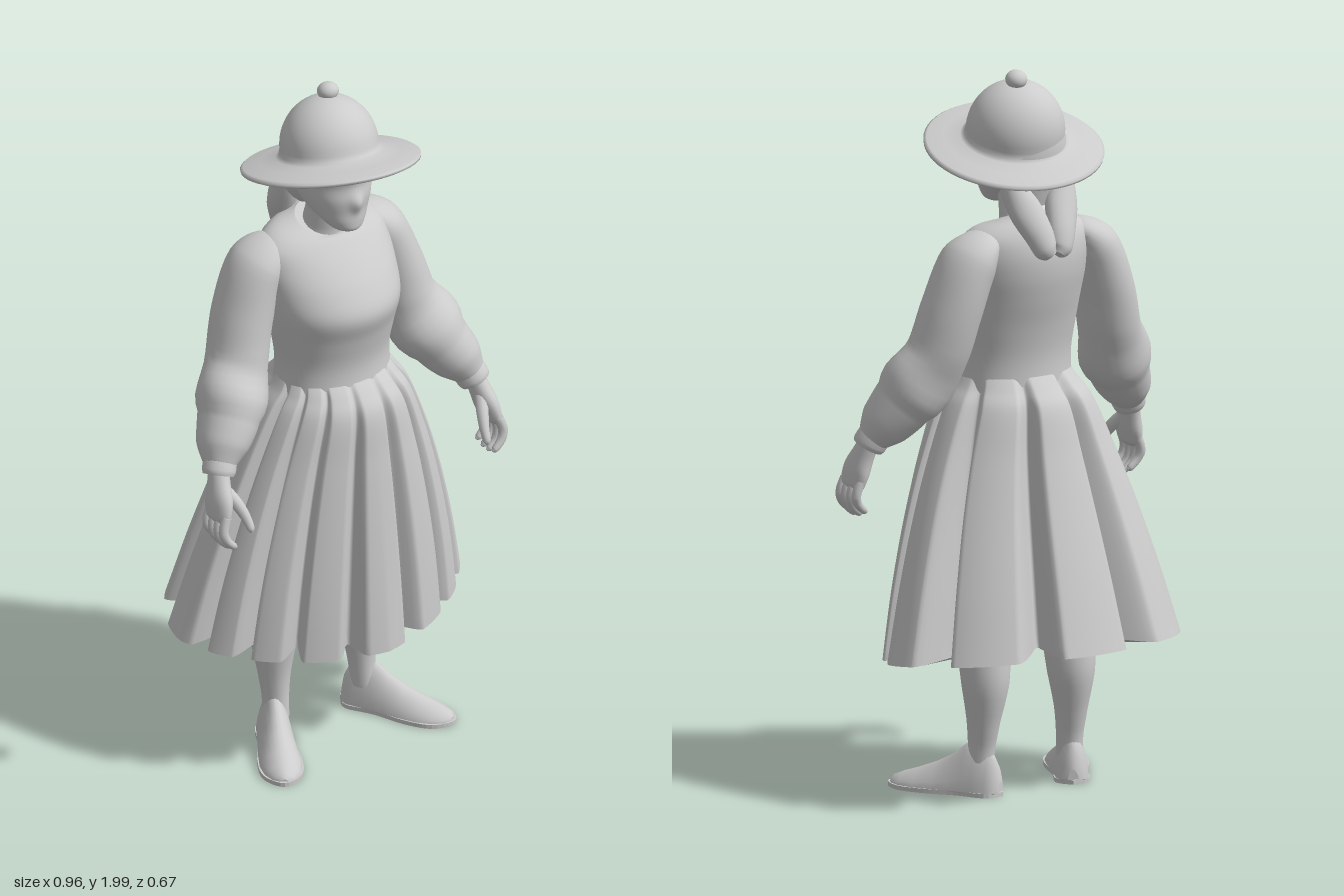
import * as THREE from 'three';

const clay = new THREE.MeshStandardMaterial({ color: 0xcccccc });
clay.name = 'clay grey';

// Skin closed rings of points into a smooth surface with flat end caps
function loft(rings) {
  const n = rings[0].length, pos = [], index = [];
  const push = p => pos.push(p.x, p.y, p.z);
  rings.forEach(r => r.forEach(push));
  for (let i = 0; i < rings.length - 1; i++) {
    for (let j = 0; j < n; j++) {
      const a = i * n + j, b = i * n + (j + 1) % n;
      index.push(a, b, a + n, b, b + n, a + n);
    }
  }
  [rings[0], rings[rings.length - 1]].forEach((ring, end) => {
    const base = pos.length / 3;
    const mid = new THREE.Vector3();
    ring.forEach(p => { push(p); mid.addScaledVector(p, 1 / n); });
    push(mid);
    for (let j = 0; j < n; j++) {
      const a = base + j, b = base + (j + 1) % n;
      index.push(base + n, end ? a : b, end ? b : a);
    }
  });
  const geo = new THREE.BufferGeometry();
  geo.setAttribute('position', new THREE.Float32BufferAttribute(pos, 3));
  geo.setIndex(index);
  geo.computeVertexNormals();
  return geo;
}

// Body from horizontal sections: [y, half width, front z, back z, pleat depth]
function sections(rows, shape = () => [1, 0], steps = 40, seg = 64) {
  const curve = f => new THREE.CatmullRomCurve3(rows.map(f), false, 'centripetal');
  const outer = curve(r => new THREE.Vector3(r[1], r[0], r[2]));
  const inner = curve(r => new THREE.Vector3(r[3], r[0], r[4] || 0));
  return loft(Array.from({ length: steps + 1 }, (_, i) => {
    const t = i / steps, p = outer.getPoint(t), q = inner.getPoint(t);
    return Array.from({ length: seg }, (_, j) => {
      const a = j / seg * Math.PI * 2, [f, dy] = shape(a, t, q.z);
      return new THREE.Vector3(
        p.x * Math.sin(a) * f, (p.y + q.y) / 2 + dy,
        (p.z + q.x) / 2 + (p.z - q.x) / 2 * Math.cos(a) * f);
    });
  }));
}

// Limb along a path: [x, y, z, radius along z, radius across]
function limb(rows, side = 1, steps = 24, seg = 18) {
  const path = new THREE.CatmullRomCurve3(rows.map(r => new THREE.Vector3(side * r[0], r[1], r[2])));
  const radii = new THREE.CatmullRomCurve3(rows.map(r => new THREE.Vector3(r[3], r[4] ?? r[3], 0)));
  return loft(Array.from({ length: steps + 1 }, (_, i) => {
    const t = i / steps, c = path.getPoint(t), d = path.getTangent(t), r = radii.getPoint(t);
    const u = new THREE.Vector3(0, 0, 1).addScaledVector(d, -d.z).normalize();
    const v = new THREE.Vector3().crossVectors(d, u);
    return Array.from({ length: seg }, (_, j) => {
      const a = j / seg * Math.PI * 2;
      return c.clone().addScaledVector(u, r.x * Math.cos(a)).addScaledVector(v, r.y * Math.sin(a));
    });
  }));
}

// Pleat centres in degrees from the front; the back pleats are wider
const pleats = [0, 27, 50, 70, 91, 137, 180];
function pleatShape(a, t, depth) {
  const deg = THREE.MathUtils.radToDeg(a > Math.PI ? 2 * Math.PI - a : a);
  const k = Math.min(pleats.findLastIndex(p => p <= deg + 1e-6), pleats.length - 2);
  const phase = (deg - pleats[k]) / (pleats[k + 1] - pleats[k]);
  const edge = 1 - Math.abs(2 * phase - 1);
  const valley = .08 * edge * edge + .92 * THREE.MathUtils.smoothstep(edge, .58, 1);
  const back = (1 - Math.cos(a)) / 2, low = (1 - t) ** 3;
  const oval = 1 - .09 * low * Math.max(0, Math.sin(2 * deg * Math.PI / 180));
  return [oval * (1 - depth * (.5 + .5 * back) * valley), low * (.01 * valley - .032 * Math.cos(a))];
}

// Low nose ridge on the face
function faceShape(a, t) {
  const turn = Math.min(a, 2 * Math.PI - a);
  return [1 + .12 * Math.exp(-((turn / .17) ** 2) - ((t - .54) / .1) ** 2), 0];
}

function foot() {
  // Rings run from heel to toe: [z, half width, height]
  const rows = [[-.05, .015, .04], [-.042, .034, .085], [-.02, .045, .13], [.02, .047, .15], [.05, .049, .137],
    [.09, .052, .105], [.135, .056, .08], [.19, .058, .058], [.235, .049, .043], [.265, .03, .03], [.275, .01, .018]];
  return loft(rows.map(([z, w, h]) => Array.from({ length: 24 }, (_, j) => {
    const a = j / 24 * Math.PI * 2, s = Math.sin(a);
    return new THREE.Vector3(w * Math.cos(a) * (s > 0 ? 1 - .25 * s : 1), s > 0 ? .012 + (h - .012) * s : .012 + .008 * s, z);
  })));
}

export function createModel() {
  const model = new THREE.Group();
  model.name = 'woman in hat and pleated dress';
  const add = (name, geo, parent = model) => {
    const m = new THREE.Mesh(geo, clay);
    m.name = name;
    parent.add(m);
    return m;
  };

  // Dress bodice, its neckline lower at the front
  add('bodice', sections([
    [1.1, .17, .215, -.07], [1.2, .166, .205, -.066], [1.29, .18, .222, -.08], [1.37, .192, .243, -.1],
    [1.44, .198, .212, -.113], [1.5, .198, .168, -.113], [1.545, .188, .13, -.1],
    [1.572, .15, .108, -.08], [1.588, .075, .09, -.045]], (a, t) => [1, -.025 * Math.cos(a) * t ** 6]));

  // Skirt from hem to gathered waist
  add('skirt', sections([
    [.4, .455, .335, -.335, .38], [.6, .4, .318, -.28, .35], [.8, .335, .3, -.22, .31],
    [.95, .276, .285, -.175, .27], [1.08, .215, .268, -.135, .2], [1.125, .182, .238, -.095, .14],
    [1.165, .158, .197, -.057, .06]], pleatShape, 40, 320));

  // Neck, collar and head
  add('neck', limb([[0, 1.53, .02, .075], [0, 1.59, .035, .058], [0, 1.64, .045, .055], [0, 1.7, .05, .06]]));
  const collar = add('collar', new THREE.TorusGeometry(.082, .009, 8, 40));
  collar.rotation.x = Math.PI / 2 + .4;
  collar.position.set(0, 1.568, .022);
  add('head', sections([
    [1.607, .022, .165, .12], [1.618, .044, .18, .08], [1.64, .063, .183, .05], [1.67, .083, .183, .0],
    [1.71, .1, .186, -.04], [1.75, .108, .182, -.055], [1.79, .11, .188, -.06], [1.86, .1, .16, -.05]], faceShape));

  // Hair cap and looped braids
  add('hair', sections([
    [1.625, .04, .0, -.055], [1.66, .075, .04, -.065], [1.72, .115, .09, -.08], [1.77, .123, .13, -.085],
    [1.82, .123, .175, -.08], [1.86, .11, .16, -.06]]));

  // Hat with tilted brim, domed crown and knob
  const hat = new THREE.Group();
  hat.name = 'hat';
  hat.position.set(.005, 1.775, .058);
  hat.rotation.set(-.27, 0, -.08);
  model.add(hat);
  const profile = [[0, .02], [.13, .01], [.236, -.012], [.245, -.008], [.246, -.001], [.238, .005], [.19, .013], [.148, .022], [.137, .03]];
  for (let i = 0; i <= 14; i++) {
    const a = i / 14 * Math.PI / 2;
    profile.push([.135 * Math.cos(a), .045 + .142 * Math.sin(a)]);
  }
  add('hat brim and crown', new THREE.LatheGeometry(profile.map(p => new THREE.Vector2(Math.max(p[0], 0), p[1])), 56), hat);
  const knob = add('hat knob', new THREE.SphereGeometry(.03, 20, 14), hat);
  knob.scale.y = .85;
  knob.position.set(.005, .197, .012);

  for (const side of [1, -1]) {
    const label = side > 0 ? 'left' : 'right';

    add(label + ' braid', limb([[.082, 1.74, -.02, .03], [.078, 1.68, -.045, .036], [.058, 1.62, -.075, .036, .048],
      [.036, 1.56, -.105, .034, .042], [.024, 1.52, -.12, .03, .034], [.012, 1.503, -.125, .02]], side));

    // Full sleeve gathered into a cuff
    add(label + ' sleeve', limb([
      [.12, 1.535, -.005, .045, .025], [.155, 1.527, -.005, .075, .045], [.2, 1.485, -.006, .093, .072],
      [.25, 1.36, .002, .093, .08], [.287, 1.23, .025, .088, .085], [.35, 1.11, .078, .088, .085],
      [.395, 1.045, .108, .074, .071], [.42, 1.005, .128, .047, .046]], side, 36, 24));
    add(label + ' cuff', limb([[.41, 1.02, .122, .046], [.425, .99, .134, .047], [.43, .978, .138, .043]], side, 6));

    // Hand with curled fingers
    const hand = new THREE.Group();
    hand.name = label + ' hand';
    model.add(hand);
    add('palm', limb([[.425, 1.0, .132, .03, .026], [.437, .955, .15, .038, .028], [.448, .91, .166, .05, .028],
      [.456, .872, .173, .048, .022], [.458, .858, .174, .03, .01]], side, 16), hand);
    for (let k = 0; k < 4; k++) {
      const z = .135 + k * .025, drop = [.012, .002, 0, .008][k];
      add('finger', limb([[.455, .885, z, .0135], [.468, .845, z + .004, .014], [.46, .81 + drop, z + .008, .0125],
        [.437, .787 + drop, z + .01, .01], [.429, .783 + drop, z + .01, .004]], side, 12, 10), hand);
    }
    add('thumb', limb([[.43, .945, .165, .018], [.412, .91, .197, .017], [.4, .875, .222, .014],
      [.396, .845, .24, .011], [.397, .835, .244, .004]], side, 12, 10), hand);

    // Leg, shoe and sole
    add(label + ' leg', limb([
      [.125, .6, .01, .085, .08], [.138, .42, .008, .074, .074], [.141, .31, -.002, .068, .065],
      [.144, .2, .003, .049, .044], [.145, .13, .01, .041, .036], [.147, .07, .015, .04, .035]], side));
    const shoe = new THREE.Group();
    shoe.name = label + ' foot';
    shoe.position.set(side * .145, 0, 0);
    shoe.rotation.y = side * .52;
    model.add(shoe);
    add('shoe', foot(), shoe);
    const outline = new THREE.Shape(new THREE.SplineCurve([[0, .058], [.046, .025], [.047, -.06], [.061, -.16], [.052, -.24], [0, -.284],
      [-.052, -.24], [-.061, -.16], [-.047, -.06], [-.046, .025], [0, .058]].map(p => new THREE.Vector2(...p))).getPoints(48));
    const sole = new THREE.ExtrudeGeometry(outline, { depth: .012, bevelEnabled: false });
    sole.rotateX(-Math.PI / 2);
    add('sole', sole, shoe);
  }
  return model;
}
